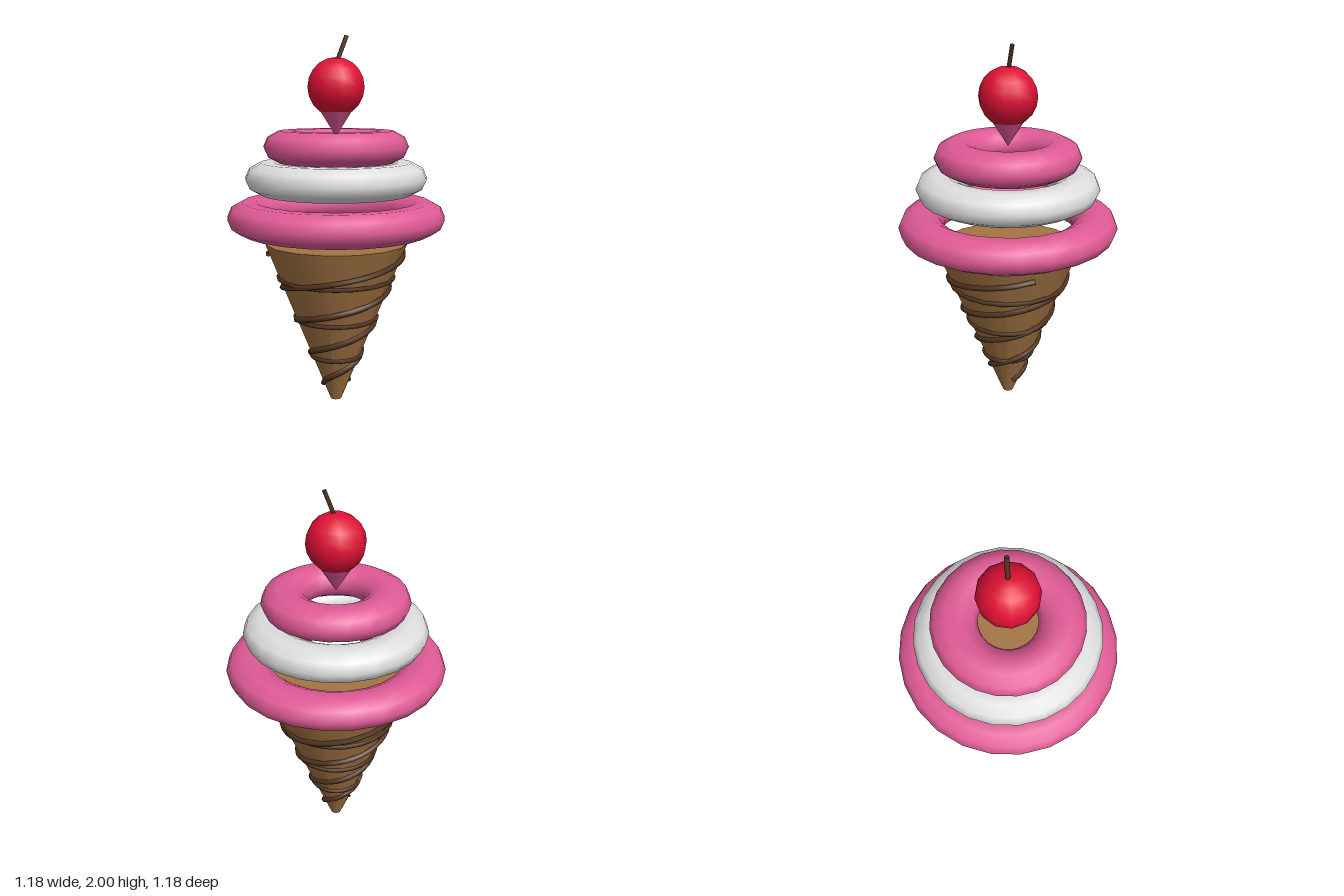
import * as THREE from 'three';

export function createModel() {
  const model = new THREE.Group();
  const material = (name, color, side = THREE.FrontSide) => {
    const m = new THREE.MeshStandardMaterial({ color, side });
    m.name = name;
    return m;
  };
  const wafer = material('wafer', 0xa37443);
  const chocolate = material('chocolate', 0x51341f, THREE.DoubleSide);
  const pink = material('pink cream', 0xe05a96);
  const white = material('white cream', 0xdedede);
  const red = material('cherry red', 0xdf1035);

  const add = (name, geometry, mat, x = 0, y = 0, z = 0) => {
    const mesh = new THREE.Mesh(geometry, mat);
    mesh.name = name;
    mesh.position.set(x, y, z);
    model.add(mesh);
    return mesh;
  };

  // Wafer cone, tapering to a small flat tip
  const coneRadius = (y) => 0.03 + 0.4 * y;
  add('waferCone', new THREE.CylinderGeometry(coneRadius(0.9), coneRadius(0), 0.9, 16), wafer, 0, 0.45, 0);

  // Two opposite chocolate spirals, two turns each
  for (const [name, start] of [['spiralLeft', 0], ['spiralRight', Math.PI]]) {
    const points = [];
    for (let i = 0; i <= 48; i++) {
      const t = i / 48, y = 0.095 + 0.755 * t, a = start + t * Math.PI * 4;
      const r = coneRadius(y) + 0.004;
      points.push(new THREE.Vector3(r * Math.cos(a), y, -r * Math.sin(a)));
    }
    const path = new THREE.CatmullRomCurve3(points);
    add(name, new THREE.TubeGeometry(path, 64, 0.016, 6), chocolate);
  }

  // Level chocolate bands
  [0.26, 0.48, 0.705].forEach((y, i) => {
    const band = new THREE.TorusGeometry(coneRadius(y) + 0.004, 0.012, 6, 24);
    band.rotateX(Math.PI / 2);
    add('band' + (i + 1), band, chocolate, 0, y, 0);
  });

  // Flattened cream rings, smaller toward the top
  const creamRings = [
    ['lowerCream', 0.47, 1.04, pink],
    ['middleCream', 0.37, 1.25, white],
    ['upperCream', 0.27, 1.417, pink],
  ];
  for (const [name, radius, y, mat] of creamRings) {
    const ring = new THREE.TorusGeometry(radius, 0.12, 10, 24);
    ring.rotateX(Math.PI / 2);
    ring.scale(1, 0.74, 1);
    add(name, ring, mat, 0, y, 0);
  }

  // Pointed cream drop under the cherry
  const drop = new THREE.ConeGeometry(0.09, 0.14, 12);
  drop.rotateX(Math.PI);
  add('creamDrop', drop, pink, 0, 1.54, 0);

  // Cherry with its leaning stem
  add('cherry', new THREE.SphereGeometry(0.155, 12, 10), red, 0, 1.73, 0);
  const stem = add('stem', new THREE.CylinderGeometry(0.012, 0.012, 0.15, 6), chocolate, 0.03, 1.926, 0);
  stem.rotation.z = -0.37;

  return model;
}
